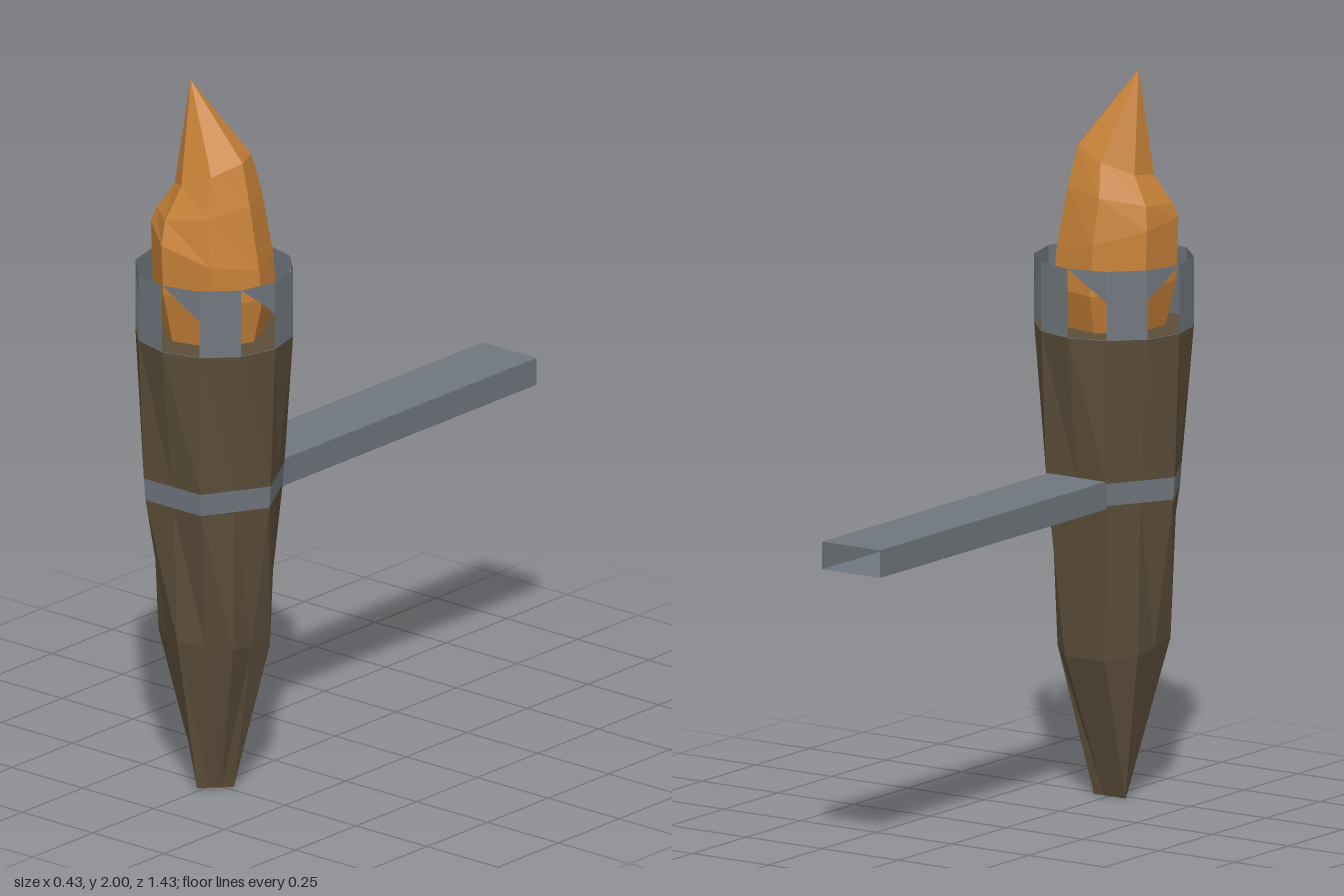
import * as THREE from 'three';

const CZ = 0.5; // torch axis sits forward of the centre
const mat = (color) => new THREE.MeshStandardMaterial({ color, flatShading: true, side: THREE.DoubleSide });
const wood = mat(0x5c4e3a), metal = mat(0x70777e), fire = mat(0xc88238);

// Ring of `count` points tracing a regular polygon of `sides`, first corner at angle `turn`
function ring(y, r, sides, turn = 0, { count = 12, cx = 0, cz = CZ, tiltX = 0, tiltZ = 0 } = {}) {
  const step = (Math.PI * 2) / sides;
  return Array.from({ length: count }, (_, i) => {
    const a = (i / count) * Math.PI * 2;
    const local = (((a - turn) % step) + step) % step;
    const d = (r * Math.cos(step / 2)) / Math.cos(local - step / 2);
    const x = d * Math.cos(a), z = d * Math.sin(a);
    return new THREE.Vector3(cx + x, y + tiltX * x + tiltZ * z, cz + z);
  });
}

function facets(triangles) {
  const g = new THREE.BufferGeometry().setFromPoints(triangles);
  g.computeVertexNormals();
  return g;
}

// Skin between rings listed from bottom to top, closing the ends when asked
function loft(rings, closed = true) {
  const middle = (r) => {
    const c = r.reduce((s, p) => s.add(p), new THREE.Vector3()).divideScalar(r.length);
    return r.map(() => c);
  };
  const all = closed ? [middle(rings[0]), ...rings, middle(rings[rings.length - 1])] : rings;
  const tris = [];
  for (let k = 0; k + 1 < all.length; k++) {
    const n = all[k].length;
    for (let i = 0; i < n; i++) {
      const j = (i + 1) % n;
      const a = all[k][i], b = all[k][j], c = all[k + 1][j], d = all[k + 1][i];
      if (!d.equals(c)) tris.push(a, d, c);
      if (!a.equals(b)) tris.push(a, c, b);
    }
  }
  return facets(tris);
}

export function createModel() {
  const group = new THREE.Group();
  const add = (name, geometry, material) => {
    const mesh = new THREE.Mesh(geometry, material);
    mesh.name = name;
    group.add(mesh);
    return mesh;
  };

  // Handle: triangular foot, hexagonal middle, twelve-sided top
  const foot = ring(0.006, 0.06, 3, Math.PI / 2, { cz: 0.51, tiltZ: 0.1 });
  const shin = ring(0.425, 0.152, 6, Math.PI / 6, { tiltZ: 0.17 });
  shin.forEach((p) => { if (p.z < 0.4) { p.z = 0.365; p.y = 0.4; } }); // flat back panel
  const bandLow = ring(0.838, 0.195, 6), bandHigh = ring(0.9, 0.2, 6);
  const rim = ring(1.295, 0.215, 12);
  add('lowerHandle', loft([foot, shin, bandLow]), wood);
  add('upperHandle', loft([bandHigh, rim]), wood);

  // Metal band, flush with the handle
  add('band', loft([bandLow, bandHigh], false), metal);

  // Hollow wall bracket running backwards from the band
  const bracket = new THREE.CylinderGeometry(Math.SQRT1_2, Math.SQRT1_2, 1, 4, 1, true);
  bracket.rotateY(Math.PI / 4).rotateX(Math.PI / 2).scale(0.19, 0.076, 1.07);
  bracket.translate(0, 0.867, -0.185);
  add('wallBracket', bracket, metal);

  // Crown: full panels alternating with windows that have a slanted top
  const top = ring(1.485, 0.215, 12), mid = ring(1.4, 0.215, 12);
  const crown = [];
  for (let i = 0; i < 12; i++) {
    const j = (i + 1) % 12;
    if (i % 2) crown.push(rim[i], top[i], top[j], rim[i], top[j], rim[j]);
    else crown.push(i % 4 ? mid[j === 3 ? i : j] : mid[i], top[i], top[j]);
  }
  add('crown', loft([rim, rim.map((p) => p.clone().setY(1.297))], false), metal);
  add('crownPanels', facets(crown), metal);

  // Flame: leaning faceted rings drawn up to an off-centre tip
  const f = (y, r, turn, cx, cz, tiltX, tiltZ) => ring(y, r, 7, turn, { count: 7, cx, cz, tiltX, tiltZ });
  const tip = new THREE.Vector3(-0.07, 2, 0.515);
  add('flame', loft([
    f(1.298, 0.14, 0, 0, 0.5, 0, 0),
    f(1.42, 0.17, 0, 0, 0.5, 0, 0.1),
    f(1.55, 0.168, 0, -0.005, 0.505, -0.25, 0.1),
    f(1.66, 0.145, 0, -0.015, 0.505, 0.15, -0.1),
    f(1.755, 0.105, 0, -0.005, 0.5, 0.4, -0.15),
    Array(7).fill(tip),
  ], false), fire);

  return group;
}
